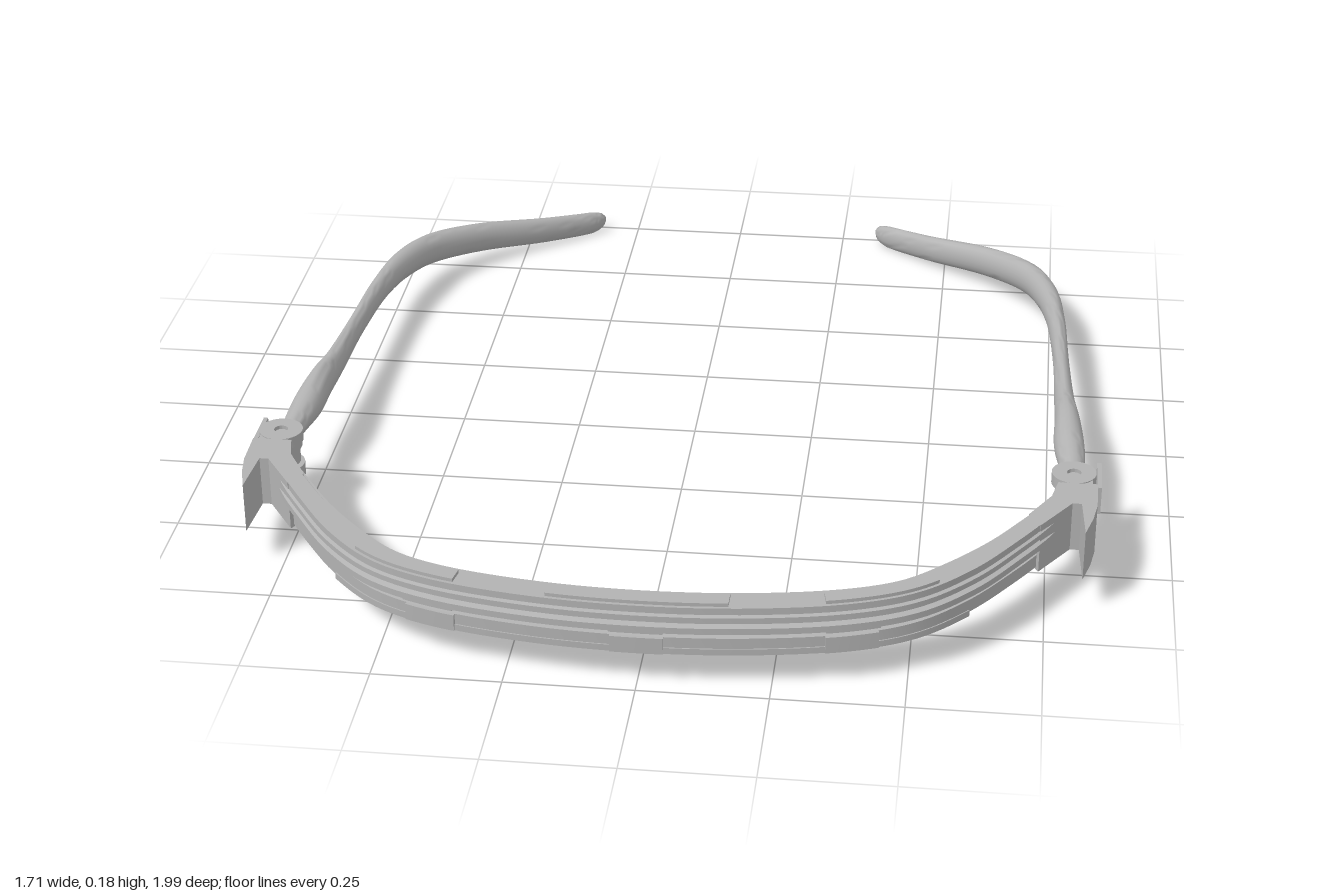
import * as THREE from 'three';
import { mergeVertices, toCreasedNormals } from 'three/addons/utils/BufferGeometryUtils.js';

const grey = new THREE.MeshStandardMaterial({ color: 0xb2b2b2 });
grey.name = 'grey plastic';

function mesh(geometry, name) {
  const m = new THREE.Mesh(geometry, grey);
  m.name = name;
  return m;
}

// Skin a row of equal closed cross-sections and cap both ends
function loft(rings, profile, crease) {
  const n = profile.length, pos = [], idx = [];
  for (const ring of rings) for (const p of ring) pos.push(p.x, p.y, p.z);
  for (let i = 0; i < rings.length - 1; i++) {
    for (let j = 0; j < n; j++) {
      const a = i * n + j, b = i * n + (j + 1) % n;
      idx.push(a, b, a + n, b, b + n, a + n);
    }
  }
  const ccw = THREE.ShapeUtils.area(profile) > 0;
  const last = (rings.length - 1) * n;
  for (const t of THREE.ShapeUtils.triangulateShape(profile, [])) {
    const [a, b, c] = ccw ? t : [t[0], t[2], t[1]];
    const ends = [[a, c, b], [a + last, b + last, c + last]];
    for (const e of ends) idx.push(...(ccw ? e : [e[0], e[2], e[1]]));
  }
  // Turn all faces outward
  const v = (i) => new THREE.Vector3(pos[3 * i], pos[3 * i + 1], pos[3 * i + 2]);
  let volume = 0;
  for (let i = 0; i < idx.length; i += 3) volume += v(idx[i]).dot(v(idx[i + 1]).cross(v(idx[i + 2])));
  if (volume < 0) idx.reverse();
  const g = new THREE.BufferGeometry();
  g.setAttribute('position', new THREE.Float32BufferAttribute(pos, 3));
  g.setIndex(idx);
  return toCreasedNormals(mergeVertices(g), crease);
}

// Outer and inner plan curves of the brow band, as x and z
const mirrorCurve = (half) => new THREE.CatmullRomCurve3(
  [...half.slice(1).reverse().map(([x, z]) => [-x, z]), ...half].map(([x, z]) => new THREE.Vector3(x, 0, z)));
const outer = mirrorCurve([[0, 0.997], [0.2, 0.985], [0.4, 0.945], [0.52, 0.89],
  [0.62, 0.795], [0.7, 0.68], [0.755, 0.59], [0.79, 0.51]]);
const inner = mirrorCurve([[0, 0.915], [0.2, 0.903], [0.38, 0.868], [0.48, 0.825],
  [0.565, 0.75], [0.64, 0.665], [0.705, 0.57], [0.765, 0.48]]);

function paramAtX(x) {
  let lo = 0, hi = 1;
  for (let i = 0; i < 30; i++) {
    const mid = (lo + hi) / 2;
    if (outer.getPoint(mid).x < x) lo = mid; else hi = mid;
  }
  return lo;
}

// Profile points: depth (0 outer face, 1 inner face) and height
function bandPart(points, x0, x1, steps, name) {
  const profile = points.map(([f, y]) => new THREE.Vector2(f, y));
  const u0 = paramAtX(x0), u1 = paramAtX(x1), rings = [];
  for (let i = 0; i <= steps; i++) {
    const u = u0 + (u1 - u0) * i / steps;
    const a = outer.getPoint(u), b = inner.getPoint(u);
    rings.push(profile.map((p) => a.clone().lerp(b, p.x).setY(p.y)));
  }
  return mesh(loft(rings, profile, 0.45), name);
}

const rect = (f0, f1, y0, y1) => [[f0, y0], [f1, y0], [f1, y1], [f0, y1]];

// Plan outline (x, z) raised between two heights
function slab(outline, y0, y1, name) {
  const shape = new THREE.Shape(outline.map(([x, z]) => new THREE.Vector2(x, -z)));
  const g = new THREE.ExtrudeGeometry(shape, { depth: y1 - y0, bevelEnabled: false });
  g.rotateX(-Math.PI / 2).translate(0, y0, 0);
  return mesh(g, name);
}

function disc(r, hole, y0, y1, x, z, name) {
  const shape = new THREE.Shape().absarc(0, 0, r, 0, Math.PI * 2);
  shape.holes.push(new THREE.Path().absarc(0, 0, hole, 0, Math.PI * 2, true));
  const g = new THREE.ExtrudeGeometry(shape, { depth: y1 - y0, bevelEnabled: false, curveSegments: 16 });
  g.rotateX(-Math.PI / 2).translate(x, y0, z);
  return mesh(toCreasedNormals(g, 0.6), name);
}

function box(w, h, d, x, y, z, name) {
  return mesh(new THREE.BoxGeometry(w, h, d).translate(x, y, z), name);
}

// Temple stations: x, y, z, half width, half height
const stations = [
  [0.798, 0.136, 0.375, 0.02, 0.02], [0.797, 0.136, 0.31, 0.024, 0.022],
  [0.79, 0.135, 0.2, 0.031, 0.034], [0.786, 0.133, 0.1, 0.026, 0.038],
  [0.78, 0.126, 0, 0.021, 0.033], [0.772, 0.121, -0.2, 0.017, 0.028],
  [0.76, 0.115, -0.4, 0.02, 0.029], [0.738, 0.106, -0.54, 0.026, 0.033],
  [0.695, 0.092, -0.66, 0.028, 0.036], [0.6, 0.072, -0.775, 0.024, 0.035],
  [0.46, 0.047, -0.885, 0.018, 0.031], [0.36, 0.034, -0.965, 0.015, 0.027],
  [0.339, 0.033, -0.985, 0.011, 0.019], [0.331, 0.033, -0.994, 0.004, 0.007],
];

function temple(side) {
  const path = new THREE.CatmullRomCurve3(stations.map(([x, y, z]) => new THREE.Vector3(x * side, y, z)));
  const sizes = new THREE.CatmullRomCurve3(stations.map((s) => new THREE.Vector3(s[3], s[4], 0)));
  const profile = [], rings = [], n = 20, steps = 78;
  for (let j = 0; j < n; j++) {
    const a = j / n * Math.PI * 2;
    profile.push(new THREE.Vector2(Math.cos(a), Math.sin(a)));
  }
  for (let i = 0; i <= steps; i++) {
    const p = path.getPoint(i / steps), t = path.getTangent(i / steps), s = sizes.getPoint(i / steps);
    const across = new THREE.Vector3(t.z, 0, -t.x).normalize();
    rings.push(profile.map((q) => p.clone().addScaledVector(across, q.x * s.x).add(new THREE.Vector3(0, q.y * s.y, 0))));
  }
  return mesh(loft(rings, profile, 1.0), 'temple');
}

export function createModel() {
  const model = new THREE.Group();
  model.name = 'glassesFrame';

  // Brow band with a deep lens slot and fine grooves
  const band = new THREE.Group();
  band.name = 'browBand';
  band.add(bandPart([
    [1, 0.085], [0.25, 0.085], [0.25, 0.112], [0.7, 0.115], [0.7, 0.133], [0, 0.133],
    [0, 0.146], [0.15, 0.149], [0.15, 0.155], [0.02, 0.157], [0.02, 0.168], [0.12, 0.17],
    [0.12, 0.184], [0.78, 0.184], [0.8, 0.166], [0.9, 0.164], [0.92, 0.172], [1, 0.172],
  ], -0.789, 0.789, 72, 'band'));
  band.add(bandPart(rect(0.22, 0.8, 0.077, 0.09), -0.62, 0.62, 48, 'lowerLip'));
  for (const [a, b] of [[-0.56, -0.35], [-0.17, 0.17], [0.35, 0.56]]) {
    band.add(bandPart(rect(0.2, 0.62, 0.18, 0.191), a, b, 14, 'topPad'));
  }
  for (const [a, b] of [[-0.45, -0.35], [-0.05, 0.05], [0.35, 0.45]]) {
    band.add(bandPart(rect(0.17, 0.35, 0.078, 0.112), a, b, 6, 'lensTab'));
    band.add(bandPart(rect(0.08, 0.7, 0.126, 0.141), a, b, 6, 'upperCatch'));
  }
  model.add(band);

  for (const side of [1, -1]) {
    const half = new THREE.Group();
    half.name = side > 0 ? 'leftSide' : 'rightSide';
    const flip = (pts) => pts.map(([x, z]) => [x * side, z]);

    // End piece with a pointed outer blade and an inner strap
    half.add(slab(flip([[0.845, 0.445], [0.843, 0.53], [0.835, 0.58], [0.82, 0.635], [0.813, 0.525],
      [0.795, 0.525], [0.735, 0.615], [0.712, 0.575], [0.755, 0.5], [0.767, 0.445]]), 0.08, 0.184, 'endPiece'));
    half.add(box(0.06, 0.1, 0.04, side * 0.805, 0.132, 0.445, 'hingeMount'));

    // Hinge knuckles around an upright pin
    const x = side * 0.798, z = 0.402;
    half.add(disc(0.044, 0.014, 0.08, 0.108, x, z, 'lowerKnuckle'));
    half.add(disc(0.036, 0.014, 0.112, 0.156, x, z, 'middleKnuckle'));
    half.add(disc(0.044, 0.014, 0.16, 0.184, x, z, 'upperKnuckle'));
    half.add(mesh(new THREE.CylinderGeometry(0.013, 0.013, 0.09, 12).translate(x, 0.132, z), 'hingePin'));
    half.add(box(0.05, 0.044, 0.05, x, 0.135, 0.362, 'templeRoot'));
    half.add(box(0.009, 0.06, 0.1, side * 0.849, 0.135, 0.375, 'stopPlate'));

    half.add(temple(side));
    model.add(half);
  }
  return model;
}
